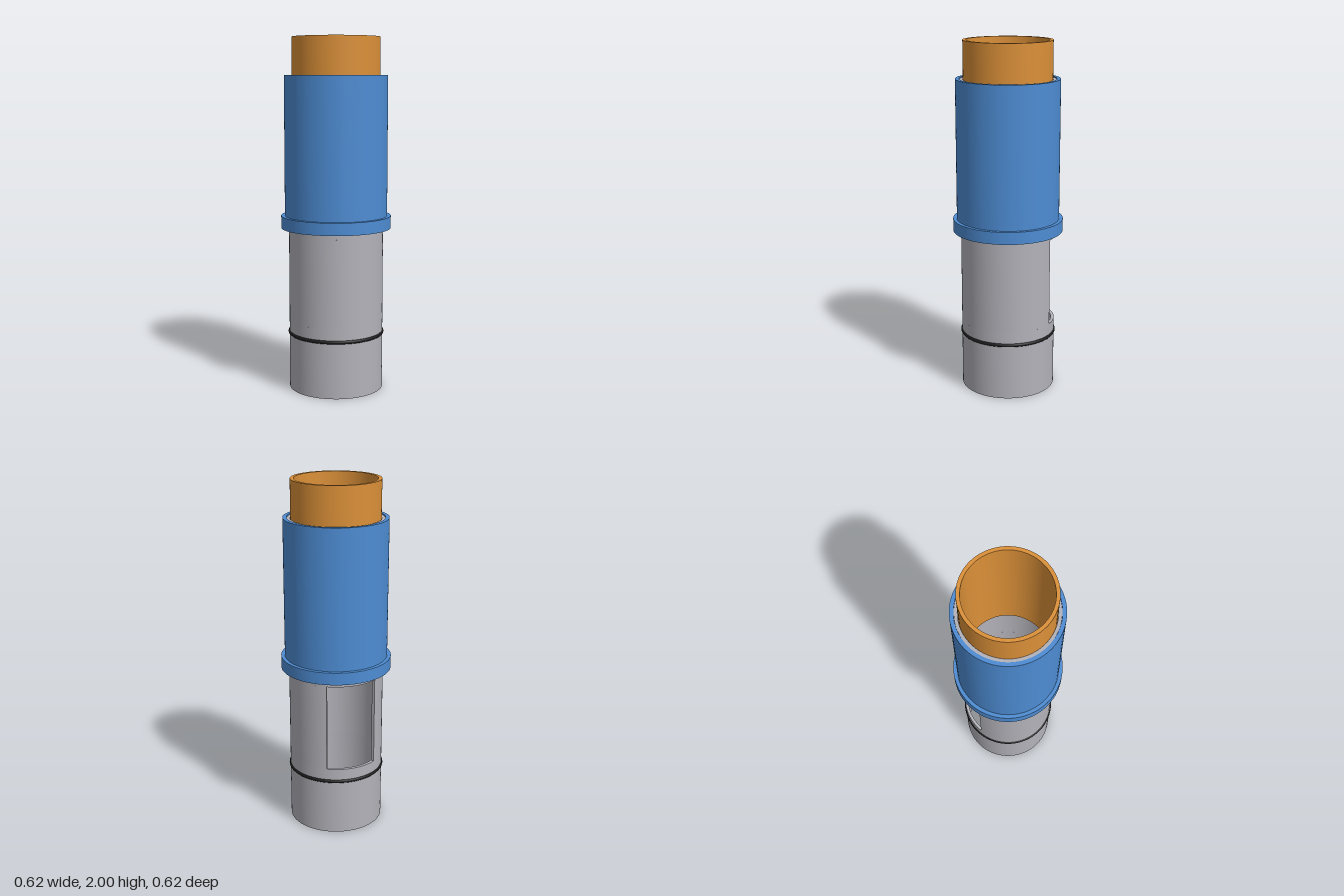
import * as THREE from 'three';
import { toCreasedNormals } from 'three/addons/utils/BufferGeometryUtils.js';

const mat = (name, color) => {
  const m = new THREE.MeshStandardMaterial({ color });
  m.name = name;
  return m;
};

// Upright pipe wall between two heights; gap is the half angle left open at the back.
function pipe(name, material, outer, inner, y0, y1, gap = 0) {
  const shape = new THREE.Shape();
  if (gap > 0) {
    const a = Math.PI / 2 + gap, b = Math.PI * 2.5 - gap;
    shape.absarc(0, 0, outer, a, b, false);
    shape.absarc(0, 0, inner, b, a, true);
    shape.closePath();
  } else {
    shape.absarc(0, 0, outer, 0, Math.PI * 2, false);
    shape.holes.push(new THREE.Path().absarc(0, 0, inner, 0, Math.PI * 2, true));
  }
  let geo = new THREE.ExtrudeGeometry(shape, { depth: y1 - y0, bevelEnabled: false, curveSegments: 48 });
  geo.rotateX(-Math.PI / 2);
  geo.translate(0, y0, 0);
  geo = toCreasedNormals(geo, Math.PI / 6);
  const mesh = new THREE.Mesh(geo, material);
  mesh.name = name;
  return mesh;
}

export function createModel() {
  const grey = mat('grey body', 0xb3b2b9);
  const blue = mat('blue sleeve', 0x4d8cd3);
  const orange = mat('orange tube', 0xdb9038);
  const black = mat('black seal', 0x1c1c1e);

  const model = new THREE.Group();
  model.name = 'telescopicTube';

  // Grey body with an open window at the back
  const body = new THREE.Group();
  body.name = 'body';
  const gap = THREE.MathUtils.degToRad(32.5);
  body.add(
    pipe('bodyBottom', grey, 0.268, 0.25, 0, 0.4),
    pipe('bodyWindowSection', grey, 0.268, 0.25, 0.4, 0.9, gap),
    pipe('bodyTop', grey, 0.268, 0.25, 0.9, 1.785),
  );

  // Blue sleeve with a flange at its lower end
  const sleeve = new THREE.Group();
  sleeve.name = 'sleeve';
  sleeve.add(
    pipe('sleeveFlange', blue, 0.312, 0.269, 0.93, 1.0),
    pipe('sleeveWall', blue, 0.291, 0.269, 1.0, 1.79),
  );

  // Orange inner tube
  const inner = pipe('innerTube', orange, 0.248, 0.228, 1.2, 2);

  // Black sealing ring
  const seal = new THREE.Mesh(new THREE.TorusGeometry(0.264, 0.011, 12, 96), black);
  seal.name = 'sealRing';
  seal.geometry.rotateX(Math.PI / 2);
  seal.position.y = 0.325;

  model.add(body, sleeve, inner, seal);
  return model;
}
